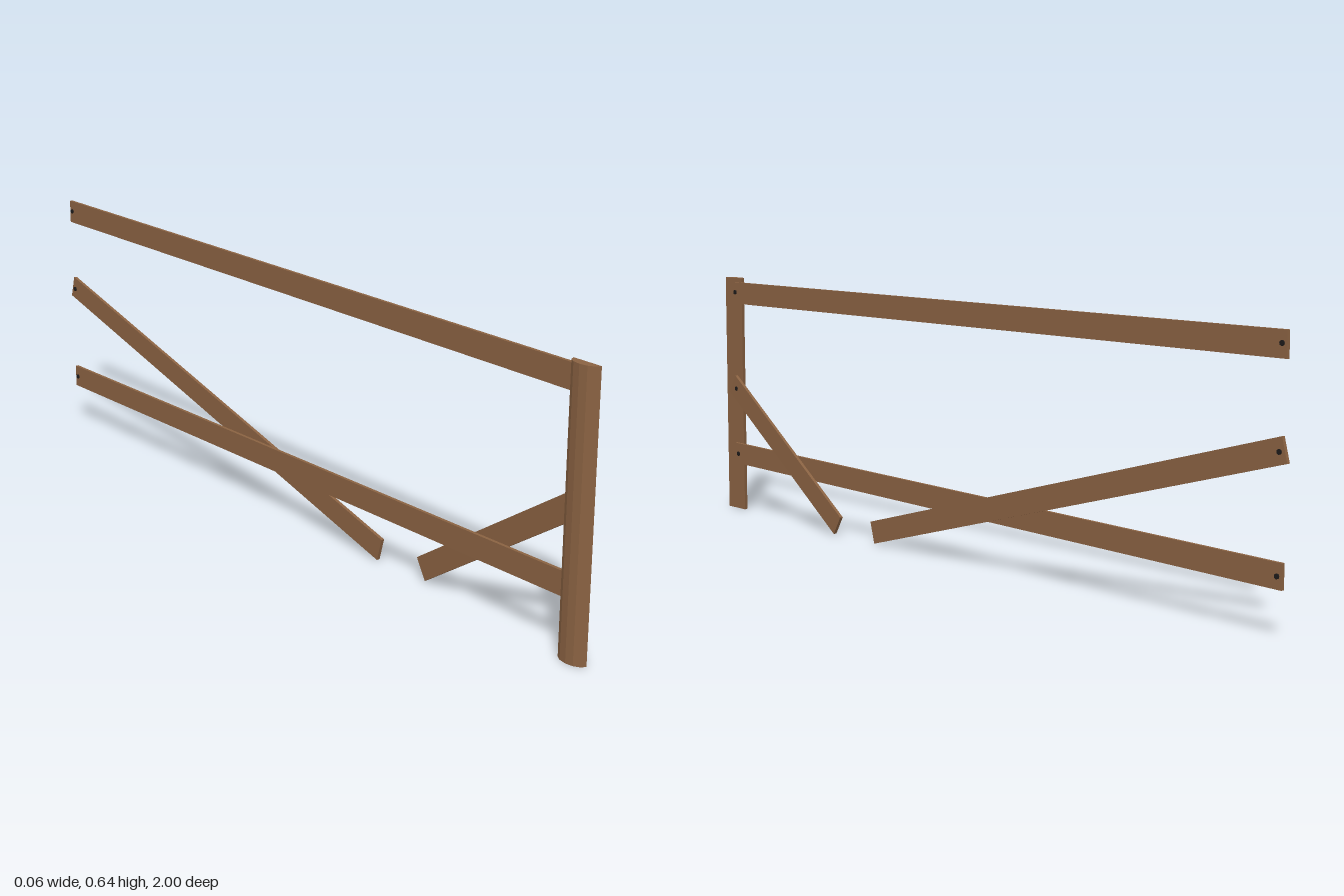
import * as THREE from 'three';

export function createModel() {
  const group = new THREE.Group();
  group.name = 'brokenFence';
  const wood = new THREE.MeshStandardMaterial({ color: 0x8a6242 });
  wood.name = 'brown wood';
  const iron = new THREE.MeshStandardMaterial({ color: 0x1c1a1a });
  iron.name = 'dark iron';

  function add(name, geometry, material) {
    const mesh = new THREE.Mesh(geometry, material);
    mesh.name = name;
    group.add(mesh);
    return mesh;
  }

  // Half-round post, flat side towards +x
  const post = new THREE.Shape();
  for (let i = 0; i <= 6; i++) {
    const a = (i / 6) * Math.PI;
    const x = -0.005 - 0.023 * Math.sin(a);
    const y = -0.962 - 0.038 * Math.cos(a);
    if (i === 0) post.moveTo(x, y);
    else post.lineTo(x, y);
  }
  post.closePath();
  const postGeometry = new THREE.ExtrudeGeometry(post, { depth: 0.637, bevelEnabled: false });
  postGeometry.rotateX(-Math.PI / 2);
  add('post', postGeometry, wood);

  // Plank laid between the centres of its two ends
  function plank(name, from, to, height) {
    const a = new THREE.Vector3(...from);
    const b = new THREE.Vector3(...to);
    const along = a.clone().sub(b);
    const geometry = new THREE.BoxGeometry(0.008, height, along.length());
    along.normalize();
    const side = new THREE.Vector3(0, 1, 0).cross(along).normalize();
    const up = along.clone().cross(side);
    const mesh = add(name, geometry, wood);
    mesh.quaternion.setFromRotationMatrix(new THREE.Matrix4().makeBasis(side, up, along));
    mesh.position.copy(a).add(b).multiplyScalar(0.5);
  }
  plank('topRail', [-0.001, 0.597, 0.957], [-0.001, 0.597, -0.99], 0.058);
  plank('lowerRail', [-0.001, 0.156, 0.957], [-0.001, 0.13, -0.99], 0.056);
  plank('shortFallenRail', [-0.001, 0.347, 0.963], [0.023, 0.026, 0.458], 0.056);
  plank('longFallenRail', [-0.001, 0.387, -0.99], [0.0165, 0.028, 0.319], 0.056);

  // Nails driven through the plank ends
  const nails = [
    [0.599, 0.942], [0.599, -0.978],
    [0.155, 0.938], [0.13, -0.978],
    [0.335, 0.942], [0.382, -0.977],
  ];
  for (const [y, z] of nails) {
    const geometry = new THREE.CylinderGeometry(0.006, 0.006, 0.014, 8);
    geometry.rotateZ(Math.PI / 2);
    add('nail', geometry, iron).position.set(-0.001, y, z);
  }
  return group;
}
